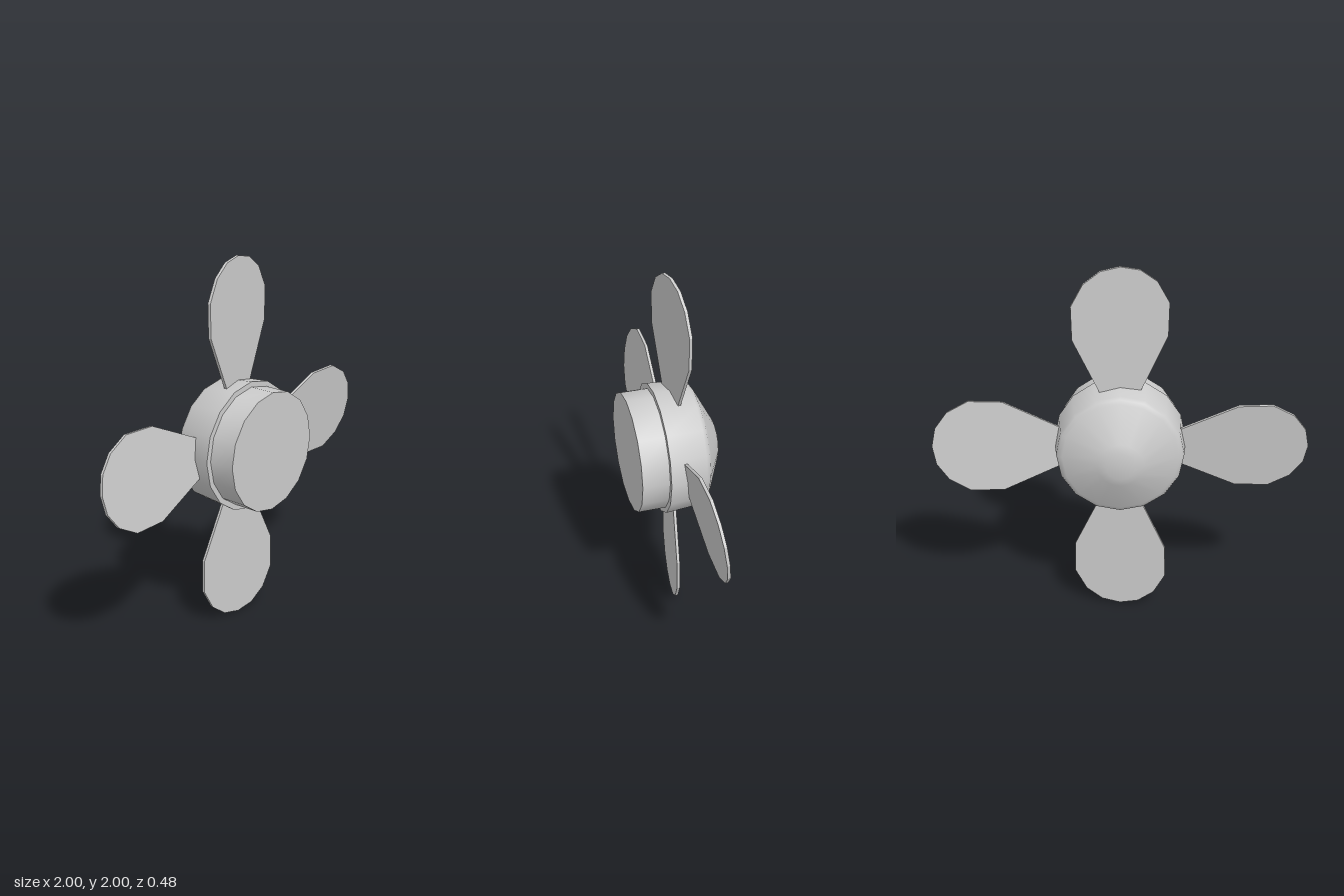
import * as THREE from 'three';
import { toCreasedNormals } from 'three/addons/utils/BufferGeometryUtils.js';

const SIDES = 16;
const material = new THREE.MeshStandardMaterial({ color: 0xcccccc });

// Surface of revolution about z, from [radius, z] pairs running front to back
function turned(name, profile) {
  const points = profile.map(([r, z]) => new THREE.Vector2(r, -z));
  const lathe = new THREE.LatheGeometry(points, SIDES).rotateX(-Math.PI / 2);
  const mesh = new THREE.Mesh(toCreasedNormals(lathe, 0.75), material);
  mesh.name = name;
  return mesh;
}

// Flat paddle, widening outwards to a rounded tip along +y
function bladeGeometry() {
  const thickness = 0.016;
  const side = [
    [0.09, 0.28], [0.113, 0.33], [0.248, 0.62], [0.252, 0.8],
    [0.189, 0.915], [0.101, 0.98],
  ];
  const outline = [
    ...side,
    [0, 1],
    ...side.slice().reverse().map(([x, y]) => [-x, y]),
  ].map(([x, y]) => new THREE.Vector2(x, y));
  const geometry = new THREE.ExtrudeGeometry(new THREE.Shape(outline), {
    depth: thickness,
    bevelEnabled: false,
  });
  return geometry.translate(0, 0, -thickness / 2);
}

export function createModel() {
  const model = new THREE.Group();
  model.name = 'propeller';

  const hub = new THREE.Group();
  hub.name = 'hub';
  // Cylindrical collar at the front
  hub.add(turned('collar', [[0, 0.24], [0.323, 0.24], [0.323, 0.09]]));
  // Slightly tapered shell closing in a blunt cone at the back
  hub.add(turned('shell', [
    [0.3, 0.095], [0.352, 0.095], [0.337, -0.1], [0.326, -0.12],
    [0.305, -0.131], [0.12, -0.225], [0.075, -0.239], [0, -0.24],
  ]));
  model.add(hub);

  // Four pitched blades around the hub
  const geometry = bladeGeometry();
  for (let i = 0; i < 4; i++) {
    const arm = new THREE.Group();
    arm.name = `bladeArm${i + 1}`;
    arm.rotation.z = (i * Math.PI) / 2;
    const blade = new THREE.Mesh(geometry, material);
    blade.name = 'blade';
    blade.rotation.y = 0.115;
    arm.add(blade);
    model.add(arm);
  }

  model.position.y = 1;
  const root = new THREE.Group();
  root.add(model);
  return root;
}
